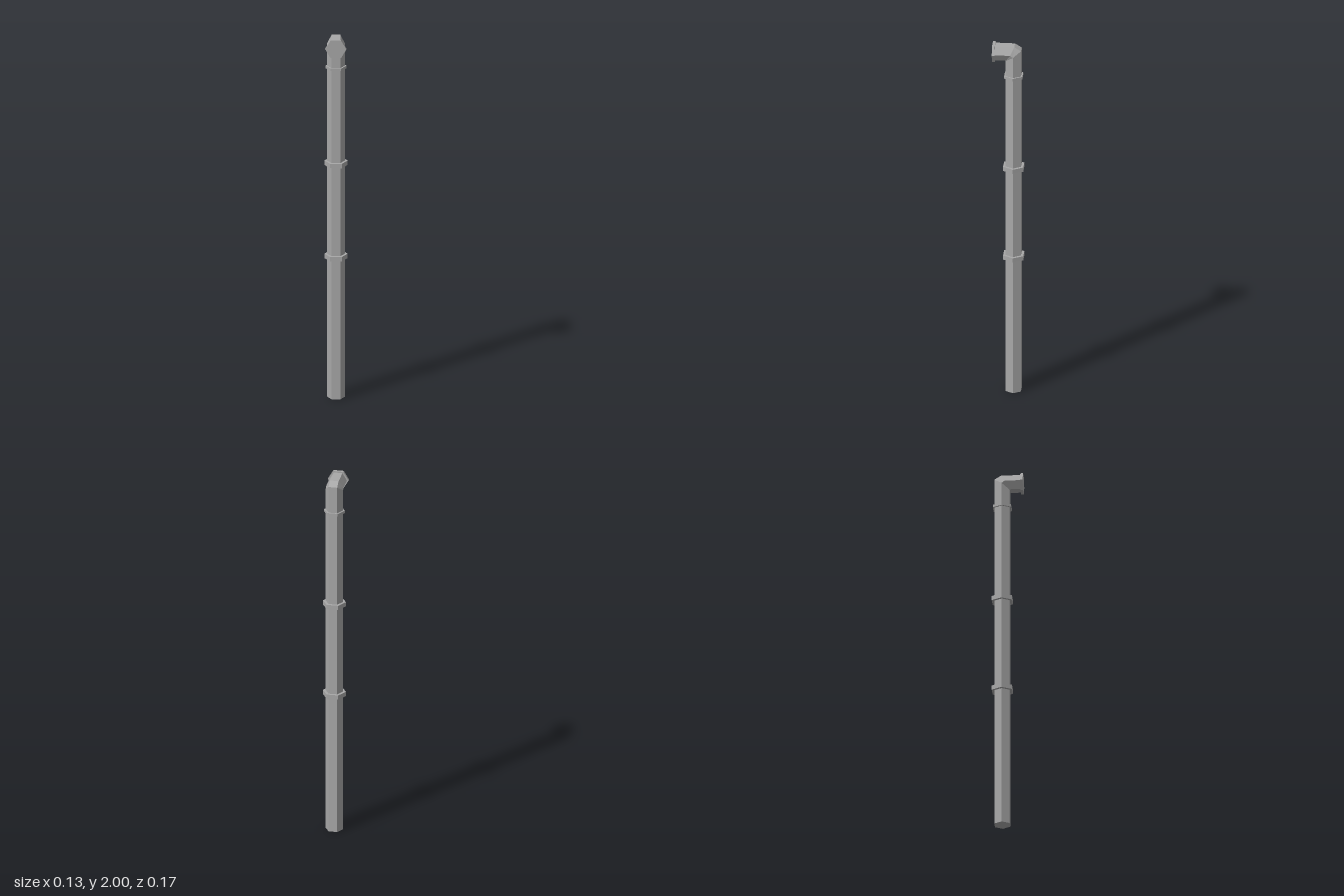
import * as THREE from 'three';

const R = 0.046; // pipe radius, corner to centre
const SIDES = 6;
const HEAD_Y = 1.952; // height of the horizontal arm's axis

// Six-sided pipe lofted through rings given as [backZ, backY, frontZ, frontY]
function loftPipe(rings) {
  const depth = Math.sin(Math.PI / 3);
  const loops = rings.map(([z0, y0, z1, y1]) =>
    Array.from({ length: SIDES }, (_, i) => {
      const a = (i / SIDES) * Math.PI * 2;
      const t = (Math.sin(a) / depth + 1) / 2;
      return [R * Math.cos(a), y0 + (y1 - y0) * t, z0 + (z1 - z0) * t];
    }));
  const pos = [];
  const tri = (a, b, c) => pos.push(...a, ...b, ...c);
  for (let k = 0; k < loops.length - 1; k++) {
    const p = loops[k], q = loops[k + 1];
    for (let i = 0; i < SIDES; i++) {
      const j = (i + 1) % SIDES;
      tri(p[i], q[i], p[j]);
      tri(p[j], q[i], q[j]);
    }
  }
  const first = loops[0], last = loops[loops.length - 1];
  for (let i = 1; i < SIDES - 1; i++) {
    tri(first[0], first[i], first[i + 1]);
    tri(last[0], last[i + 1], last[i]);
  }
  const geo = new THREE.BufferGeometry();
  geo.setAttribute('position', new THREE.Float32BufferAttribute(pos, 3));
  geo.computeVertexNormals();
  return geo;
}

export function createModel() {
  const metal = new THREE.MeshStandardMaterial({ color: 0xa8a8a8 });
  metal.name = 'pipe grey';
  metal.flatShading = true;

  const group = new THREE.Group();
  group.name = 'ventPipe';
  const body = new THREE.Group();
  body.name = 'pipeBody';
  group.add(body);

  const add = (name, geo) => {
    const mesh = new THREE.Mesh(geo, metal);
    mesh.name = name;
    body.add(mesh);
    return mesh;
  };
  const hexPlate = (radius, height) =>
    new THREE.CylinderGeometry(radius, radius, height, SIDES, 1, false, Math.PI / 6);

  // Upright shaft, chamfered elbow and horizontal arm in one sweep
  const h = 0.04;
  add('pipe', loftPipe([
    [-h, 0, h, 0],
    [-h, 1.97, h, 1.91],
    [-0.005, HEAD_Y + h, 0.035, HEAD_Y - h],
    [0.109, HEAD_Y + h, 0.109, HEAD_Y - h],
  ]));

  // Collars around the shaft: [name, height, radius, thickness]
  for (const [name, y, radius, thick] of [
    ['lowerCollar', 0.776, 0.061, 0.024],
    ['middleCollar', 1.289, 0.061, 0.024],
    ['upperCollar', 1.817, 0.055, 0.014],
  ]) add(name, hexPlate(radius, thick)).position.y = y;

  // Rim at the mouth of the arm
  const rim = add('mouthRim', hexPlate(0.055, 0.014));
  rim.rotation.x = Math.PI / 2;
  rim.position.set(0, HEAD_Y, 0.103);

  // The pipe is turned slightly away from the front
  body.rotation.y = -0.155;
  body.position.set(0.004, 0, -0.03);
  return group;
}
